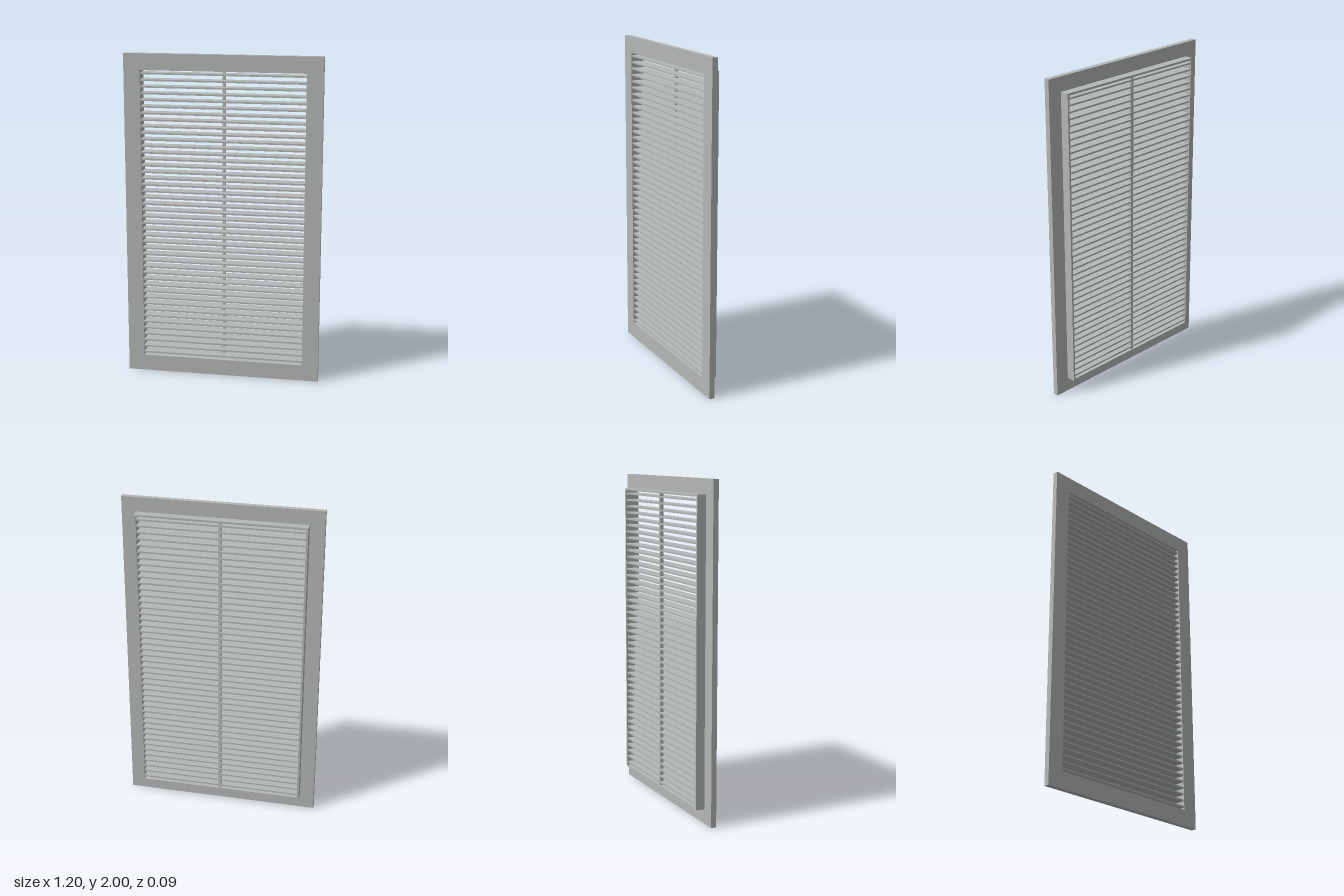
import * as THREE from 'three';

const grey = new THREE.MeshStandardMaterial({ color: 0xb3b7b5 });
grey.name = 'grey metal';

const CENTRE_Y = 1;
const OPEN_W = 1.0, OPEN_H = 1.8;

// Rectangular ring around the opening, extruded from zBack to zFront
function ring(name, width, height, zBack, zFront) {
  const rect = (Type, w, h) => new Type([
    new THREE.Vector2(-w / 2, -h / 2),
    new THREE.Vector2(w / 2, -h / 2),
    new THREE.Vector2(w / 2, h / 2),
    new THREE.Vector2(-w / 2, h / 2),
  ]);
  const shape = rect(THREE.Shape, width, height);
  shape.holes.push(rect(THREE.Path, OPEN_W, OPEN_H));
  const geometry = new THREE.ExtrudeGeometry(shape, { depth: zFront - zBack, bevelEnabled: false });
  const mesh = new THREE.Mesh(geometry, grey);
  mesh.position.set(0, CENTRE_Y, zBack);
  mesh.name = name;
  return mesh;
}

function box(name, w, h, d, y, z) {
  const mesh = new THREE.Mesh(new THREE.BoxGeometry(w, h, d), grey);
  mesh.position.set(0, y, z);
  mesh.name = name;
  return mesh;
}

export function createModel() {
  const model = new THREE.Group();
  model.name = 'ventGrille';

  // Front flange and the narrower collar behind it
  model.add(ring('frontFlange', 1.2, 2, 0.011, 0.044));
  model.add(ring('rearCollar', 1.024, 1.824, -0.044, 0.011));

  // Horizontal slats
  const slats = new THREE.Group();
  slats.name = 'slats';
  const count = 45, pitch = 0.04;
  for (let i = 0; i < count; i++) {
    const y = CENTRE_Y + (i - (count - 1) / 2) * pitch;
    slats.add(box('slat', OPEN_W, 0.01, 0.08, y, 0));
  }
  model.add(slats);

  // Upright bar tying the slats together near the back
  model.add(box('centreBar', 0.018, OPEN_H, 0.02, CENTRE_Y, -0.027));

  return model;
}
